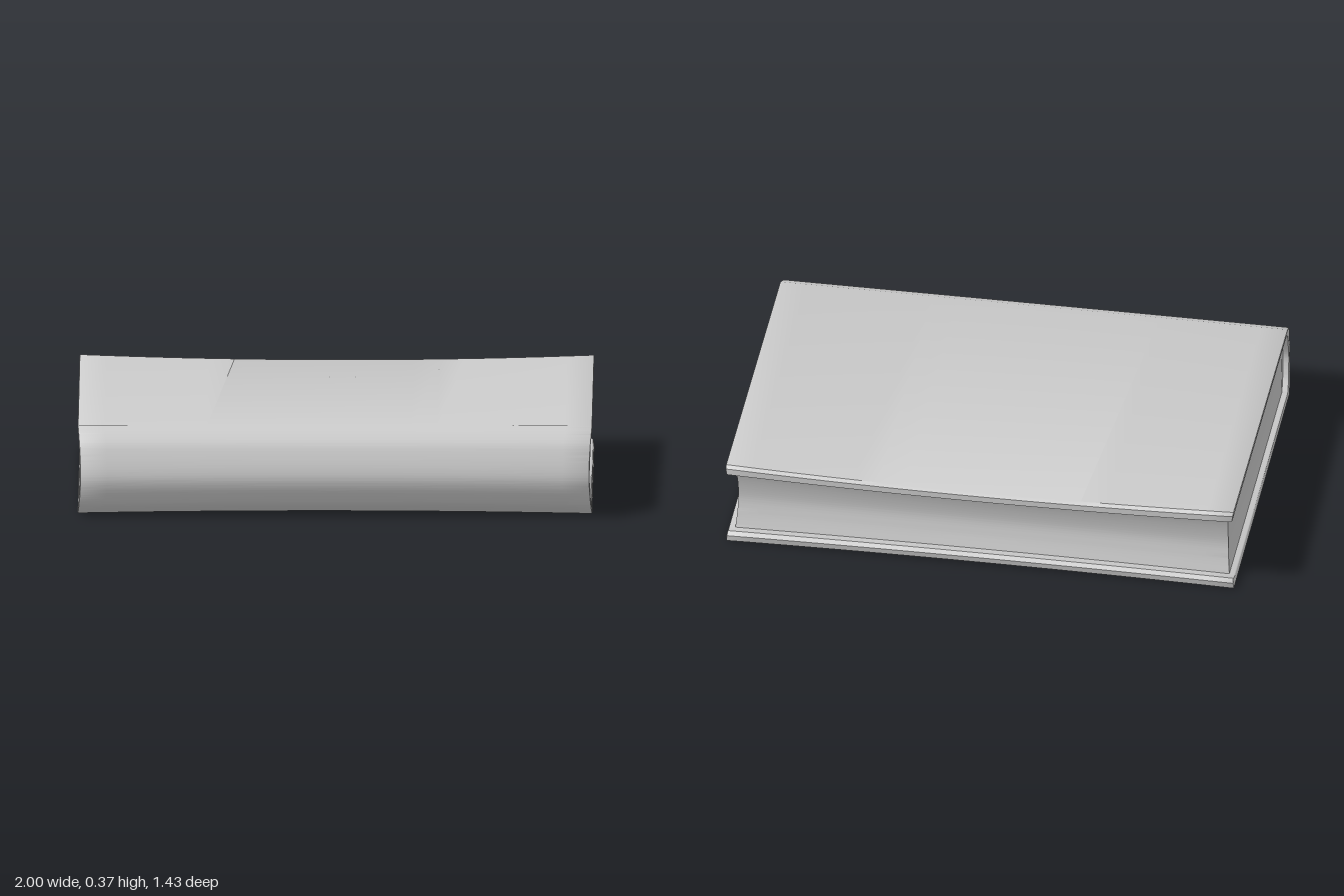
import * as THREE from 'three';
import { toCreasedNormals } from 'three/addons/utils/BufferGeometryUtils.js';

const material = new THREE.MeshStandardMaterial({ color: 0xcccccc });
const vectors = (points) => points.map(([z, y]) => new THREE.Vector2(z, y));

// Extrudes a (z, y) profile along x, then warps the block a little
function extrudeAlongX(name, shape, width, bevel) {
  const geometry = new THREE.ExtrudeGeometry(shape, {
    depth: width - 2 * bevel, steps: 20, curveSegments: 20,
    bevelEnabled: bevel > 0, bevelSize: bevel, bevelThickness: bevel, bevelOffset: -bevel, bevelSegments: 2,
  });
  geometry.translate(0, 0, -(width - 2 * bevel) / 2);
  geometry.rotateY(-Math.PI / 2);
  const p = geometry.attributes.position;
  for (let i = 0; i < p.count; i++) {
    const x = p.getX(i), y = p.getY(i), z = p.getZ(i);
    const high = y / 0.35;                          // 0 at the bottom board, 1 at the top board
    const back = THREE.MathUtils.clamp((0.6 - z) / 1.3, 0, 1);
    const middle = 4 * high * (1 - high);
    // the top board curls up at its rear corners, the bottom one sags at its ends
    p.setY(i, y + 0.02 * x * x * back * high + 0.01 * (1 - x * x) * (1 - high));
    // the ends draw in slightly at half height
    p.setX(i, x * (1 - 0.012 * Math.max(0, middle)));
  }
  const mesh = new THREE.Mesh(toCreasedNormals(geometry, 0.7), material);
  mesh.name = name;
  return mesh;
}

export function createModel() {
  const group = new THREE.Group();
  group.name = 'book';

  // Cover: two boards joined by a rounded spine
  const cover = new THREE.Shape();
  cover.moveTo(-0.69, 0.0);
  cover.lineTo(0.63, 0.004);
  cover.splineThru(vectors([[0.685, 0.055], [0.716, 0.15], [0.685, 0.26], [0.645, 0.315], [0.59, 0.343]]));
  cover.lineTo(-0.7, 0.346);
  cover.lineTo(-0.713, 0.335);
  cover.lineTo(-0.713, 0.31);
  cover.lineTo(-0.67, 0.312);
  cover.lineTo(0.58, 0.315);
  cover.splineThru(vectors([[0.625, 0.285], [0.66, 0.235], [0.685, 0.15], [0.655, 0.07], [0.61, 0.028]]));
  cover.lineTo(-0.64, 0.028);
  cover.lineTo(-0.68, 0.038);
  cover.lineTo(-0.695, 0.025);
  group.add(extrudeAlongX('cover', cover, 2, 0.006));

  // Page block: rounded against the spine, hollow along the open edge
  const pages = new THREE.Shape();
  pages.moveTo(-0.64, 0.02);
  pages.lineTo(0.61, 0.02);
  pages.splineThru(vectors([[0.66, 0.065], [0.69, 0.15], [0.665, 0.24], [0.63, 0.29], [0.58, 0.32]]));
  pages.lineTo(-0.665, 0.32);
  pages.splineThru(vectors([[-0.63, 0.25], [-0.612, 0.16], [-0.62, 0.09], [-0.64, 0.02]]));
  group.add(extrudeAlongX('pages', pages, 1.95, 0));

  return group;
}
